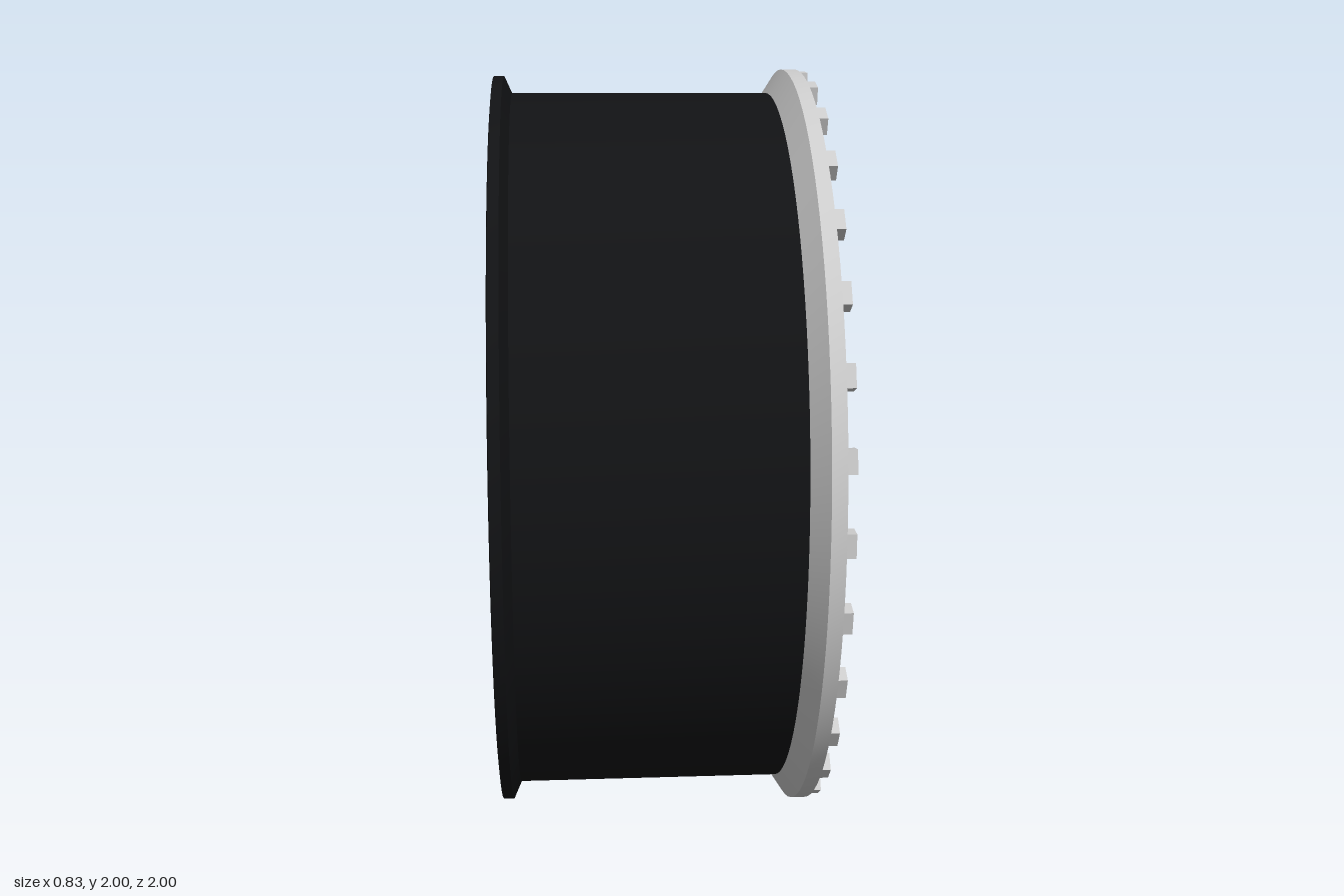
import * as THREE from 'three';
import { toCreasedNormals } from 'three/addons/utils/BufferGeometryUtils.js';

const grey = new THREE.MeshStandardMaterial({ color: 0xcccccc });
const black = new THREE.MeshStandardMaterial({ color: 0x111214 });

export function createModel() {
  const model = new THREE.Group();
  model.name = 'wheel';

  // Built with the axle along z, then turned so the outer face looks to +x
  const wheel = new THREE.Group();
  wheel.name = 'wheelAssembly';
  wheel.rotation.y = Math.PI / 2;
  wheel.position.y = 1;
  model.add(wheel);

  const add = (name, geometry, material, parent = wheel) => {
    const mesh = new THREE.Mesh(geometry, material);
    mesh.name = name;
    parent.add(mesh);
    return mesh;
  };

  // Revolves [radius, depth] points (counter-clockwise) about z
  const revolve = (points, crease = 0.5) => {
    const profile = points.map(([r, z]) => new THREE.Vector2(r, z));
    const geometry = new THREE.LatheGeometry(profile, 96).rotateX(Math.PI / 2);
    return toCreasedNormals(geometry, crease);
  };

  // Barrel with flared rear flange
  add('barrel', revolve([
    [0.94, -0.415], [0.955, -0.418], [0.985, -0.415], [0.985, -0.388], [0.94, -0.368],
    [0.938, 0.32], [0.912, 0.32], [0.912, -0.36], [0.93, -0.385], [0.94, -0.415],
  ]), black);

  // Outer ring with stepped inner lip
  add('outerRing', revolve([
    [0.915, 0.315], [0.938, 0.315], [1, 0.355], [1, 0.392], [0.948, 0.392],
    [0.942, 0.36], [0.915, 0.335], [0.91, 0.285], [0.895, 0.27], [0.895, 0.235],
    [0.915, 0.235], [0.915, 0.315],
  ]), grey);

  // Spoked disc: flat plate with tapered windows
  const plate = new THREE.Shape().absarc(0, 0, 0.914, 0, Math.PI * 2, false);
  plate.holes.push(new THREE.Path().absarc(0, 0, 0.44, 0, Math.PI * 2, true));
  const windows = 16;
  const half = THREE.MathUtils.degToRad(6.5);
  for (let i = 0; i < windows; i++) {
    const a = (i / windows) * Math.PI * 2;
    const at = (r, t) => new THREE.Vector2(r * Math.cos(a + t), r * Math.sin(a + t));
    plate.holes.push(new THREE.Path([
      at(0.515, -half), at(0.515, half), at(0.763, half), at(0.763, -half), at(0.515, -half),
    ]));
  }
  const plateGeometry = new THREE.ExtrudeGeometry(plate, {
    depth: 0.05, bevelEnabled: false, curveSegments: 96,
  });
  add('spokedDisc', toCreasedNormals(plateGeometry, 0.5), grey).position.z = 0.2;

  // Domed hub shell
  add('hub', revolve([
    [0.243, 0.24], [0.40, 0.24], [0.43, 0.225], [0.45, 0.2], [0.505, 0.2], [0.505, 0.25],
    [0.475, 0.253], [0.453, 0.262], [0.435, 0.277], [0.41, 0.286], [0.37, 0.29],
    [0.243, 0.292], [0.243, 0.24],
  ], 0.7), grey);

  // Centre cap
  const cap = add('centreCap', new THREE.CylinderGeometry(0.245, 0.245, 0.052, 64), black);
  cap.rotation.x = Math.PI / 2;
  cap.position.z = 0.268;

  // Hexagonal lug nuts
  const nutGeometry = new THREE.CylinderGeometry(0.047, 0.047, 0.08, 6)
    .rotateY(Math.PI / 6).rotateX(Math.PI / 2).toNonIndexed();
  nutGeometry.computeVertexNormals();
  for (let i = 0; i < 5; i++) {
    const spin = new THREE.Group();
    spin.name = 'lugNutPivot';
    spin.rotation.z = Math.PI + (i / 5) * Math.PI * 2;
    wheel.add(spin);
    add('lugNut', nutGeometry, grey, spin).position.set(0.32, 0, 0.315);
  }

  // Clamp blocks around the ring
  const blockGeometry = new THREE.BoxGeometry(0.045, 0.058, 0.03);
  for (let i = 0; i < 32; i++) {
    const a = (i / 32) * Math.PI * 2;
    const block = add('ringBlock', blockGeometry, grey);
    block.position.set(0.972 * Math.cos(a), 0.972 * Math.sin(a), 0.4);
    block.rotation.z = a;
  }

  return model;
}
